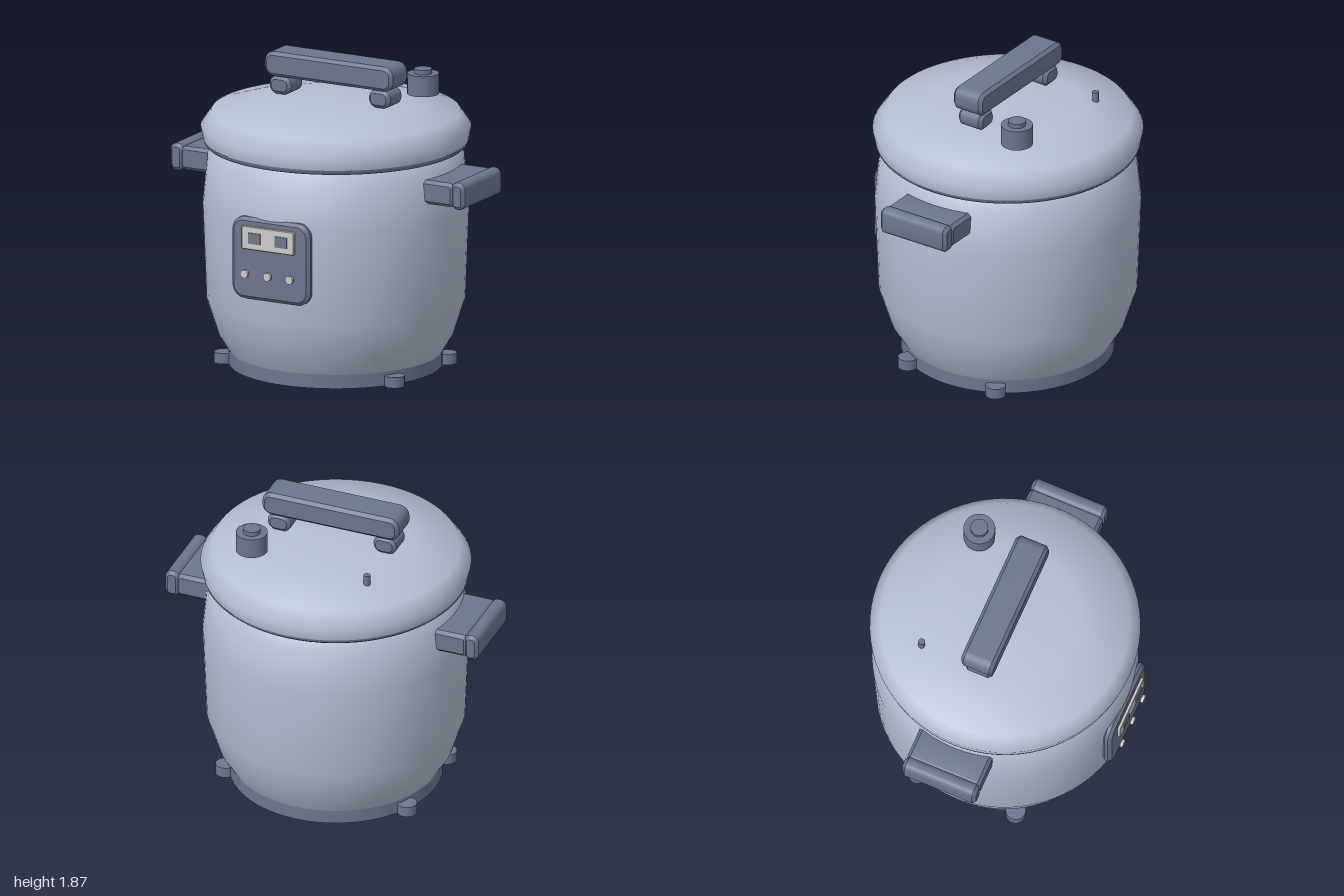
import * as THREE from 'three';
import { toCreasedNormals } from 'three/addons/utils/BufferGeometryUtils.js';

const material = (color) => new THREE.MeshStandardMaterial({ color });
const shell = material(0xb4bfd0);
const dark = material(0x6c778d);
const light = material(0xcccccc);

export function createModel() {
  const model = new THREE.Group();
  model.name = 'riceCooker';
  const cooker = new THREE.Group();
  cooker.name = 'cooker';
  cooker.position.z = -0.015;
  model.add(cooker);

  const add = (name, geometry, mat, x = 0, y = 0, z = 0) => {
    const mesh = new THREE.Mesh(geometry, mat);
    mesh.name = name;
    mesh.position.set(x, y, z);
    cooker.add(mesh);
    return mesh;
  };

  // Turned part from a [radius, height] profile, bottom to top
  const turned = (profile) => toCreasedNormals(
    new THREE.LatheGeometry(profile.map(([r, y]) => new THREE.Vector2(r, y)), 72), 0.85);

  const disc = (r, h) => new THREE.CylinderGeometry(r, r, h, 24);

  // Rounded rectangle in x/y with bevelled front and back, centred on the origin
  const slab = (w, h, d, radius, bevel) => {
    const a = w / 2 - bevel, b = h / 2 - bevel, r = radius - bevel;
    const s = new THREE.Shape();
    s.moveTo(-a + r, -b);
    s.absarc(a - r, -b + r, r, -Math.PI / 2, 0);
    s.absarc(a - r, b - r, r, 0, Math.PI / 2);
    s.absarc(-a + r, b - r, r, Math.PI / 2, Math.PI);
    s.absarc(-a + r, -b + r, r, Math.PI, Math.PI * 1.5);
    const g = new THREE.ExtrudeGeometry(s, {
      depth: d - 2 * bevel, bevelEnabled: true, bevelSize: bevel,
      bevelThickness: bevel, bevelSegments: 1, curveSegments: 6,
    });
    g.translate(0, 0, -d / 2 + bevel);
    return toCreasedNormals(g, 0.5);
  };

  // Base and four feet
  add('base', new THREE.CylinderGeometry(0.635, 0.635, 0.085, 72), dark, 0, 0.0425);
  for (const x of [-0.58, 0.58])
    for (const z of [-0.31, 0.32]) add('foot', disc(0.06, 0.065), dark, x, 0.0325, z);

  // Pot body
  add('body', turned([[0, 0.085], [0.635, 0.085], [0.7, 0.195], [0.768, 0.41],
    [0.79, 0.98], [0.762, 1.27], [0.71, 1.33], [0, 1.33]]), shell);

  // Lid with its dark rim
  add('lidRim', turned([[0, 1.342], [0.768, 1.342], [0.782, 1.355], [0.782, 1.375], [0, 1.375]]), dark);
  add('lid', turned([[0, 1.372], [0.787, 1.372], [0.802, 1.45], [0.737, 1.543],
    [0.435, 1.6], [0, 1.61]]), shell);

  // Lid handle
  add('lidHandleBar', slab(0.87, 0.15, 0.205, 0.06, 0.02), dark, 0, 1.795);
  for (const x of [-0.34, 0.335])
    add('lidHandlePost', slab(0.145, 0.11, 0.17, 0.05, 0.02), dark, x, 1.665);

  // Steam valve and vent pin
  add('steamValve', disc(0.095, 0.125), dark, 0.4, 1.68, -0.34);
  add('steamValveCap', disc(0.053, 0.03), dark, 0.4, 1.755, -0.34);
  add('ventPin', disc(0.02, 0.08), dark, -0.355, 1.605, -0.385);

  // Side handles
  for (const side of [-1, 1]) {
    add('sideHandleArm', slab(0.25, 0.145, 0.47, 0.035, 0.02), dark, side * 0.805, 1.183);
    add('sideHandleGrip', slab(0.09, 0.165, 0.475, 0.04, 0.02), dark, side * 0.955, 1.183);
  }

  // Control panel
  add('controlPanel', slab(0.53, 0.5, 0.06, 0.085, 0.02), dark, 0, 0.793, 0.766);
  add('display', slab(0.355, 0.14, 0.02, 0.01, 0.003), light, -0.002, 0.926, 0.811);
  for (const x of [-0.09, 0.09])
    add('displayWindow', new THREE.BoxGeometry(0.082, 0.066, 0.016), dark, x, 0.926, 0.82);
  for (const x of [-0.155, 0, 0.15])
    add('button', disc(0.025, 0.018), light, x, 0.705, 0.826).rotation.x = Math.PI / 2;

  return model;
}
